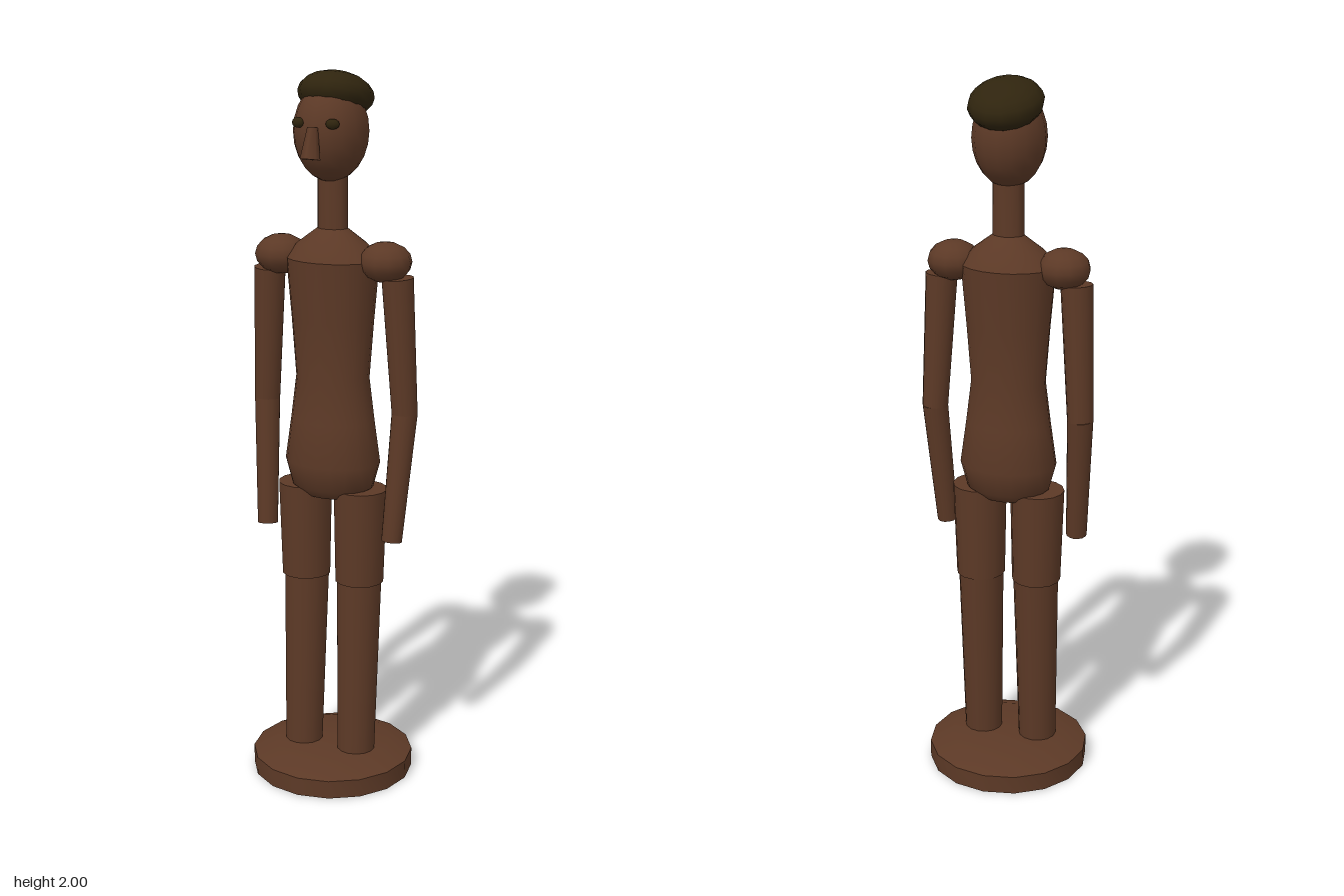
import * as THREE from 'three';
import { toCreasedNormals } from 'three/addons/utils/BufferGeometryUtils.js';

const wood = new THREE.MeshStandardMaterial({ color: 0x5c3926 });
wood.name = 'brown wood';
const dark = new THREE.MeshStandardMaterial({ color: 0x2f240e });
dark.name = 'dark hair';

export function createModel() {
  const model = new THREE.Group();
  model.name = 'standingFigure';

  function add(name, geometry, material = wood) {
    const mesh = new THREE.Mesh(geometry, material);
    mesh.name = name;
    model.add(mesh);
    return mesh;
  }

  function lathe(name, profile, sides) {
    const points = profile.map(([r, y]) => new THREE.Vector2(r, y));
    return add(name, toCreasedNormals(new THREE.LatheGeometry(points, sides), 0.75));
  }

  function ellipsoid(name, centre, radii, material = wood, sides = 12, rings = 8) {
    const mesh = add(name, new THREE.SphereGeometry(1, sides, rings), material);
    mesh.position.set(...centre);
    mesh.scale.set(...radii);
    return mesh;
  }

  // Tapered cylinder between two points
  function limb(name, top, bottom, rTop, rBottom, sides = 14) {
    const a = new THREE.Vector3(...top);
    const b = new THREE.Vector3(...bottom);
    const axis = a.clone().sub(b);
    const mesh = add(name, new THREE.CylinderGeometry(rTop, rBottom, axis.length(), sides));
    mesh.position.copy(a).add(b).multiplyScalar(0.5);
    mesh.quaternion.setFromUnitVectors(new THREE.Vector3(0, 1, 0), axis.normalize());
    return mesh;
  }

  // Round stand with a sloping rim
  lathe('base', [[0, 0], [0.23, 0], [0.23, 0.052], [0.165, 0.077], [0, 0.077]], 16);

  // Torso and neck, flattened front to back
  lathe('torso', [
    [0, 0.833], [0.085, 0.833], [0.118, 0.86], [0.137, 0.93], [0.12, 1.05],
    [0.105, 1.17], [0.117, 1.33], [0.132, 1.5], [0.1, 1.54], [0.043, 1.582],
  ], 20).scale.z = 0.78;
  lathe('neck', [[0.043, 1.57], [0.043, 1.76]], 14).scale.z = 0.8;

  // Arms and legs
  for (const [side, s] of [['left', 1], ['right', -1]]) {
    ellipsoid(side + 'Shoulder', [s * 0.156, 1.5, 0], [0.073, 0.055, 0.072]);
    limb(side + 'UpperArm', [s * 0.192, 1.46, 0], [s * 0.211, 1.08, -0.014], 0.044, 0.036);
    limb(side + 'Forearm', [s * 0.211, 1.085, -0.014], [s * 0.193, 0.725, 0.026], 0.036, 0.029);
    limb(side + 'Thigh', [s * 0.085, 0.857, 0], [s * 0.083, 0.585, 0], 0.076, 0.069);
    limb(side + 'LowerLeg', [s * 0.082, 0.588, -0.001], [s * 0.083, 0.07, 0.019], 0.064, 0.054);
    ellipsoid(side + 'Eye', [s * 0.05, 1.871, 0.106], [0.019, 0.014, 0.012], dark, 10, 6)
      .rotation.y = s * 0.25;
  }

  // Head, nose and cap of hair
  ellipsoid('head', [0, 1.842, 0.01], [0.1, 0.134, 0.11], wood, 16, 12);
  limb('nose', [0, 1.862, 0.122], [0, 1.78, 0.137], 0.014, 0.027, 6);
  ellipsoid('hair', [0, 1.936, -0.02], [0.101, 0.061, 0.114], dark, 14, 10).rotation.x = -0.26;

  return model;
}
